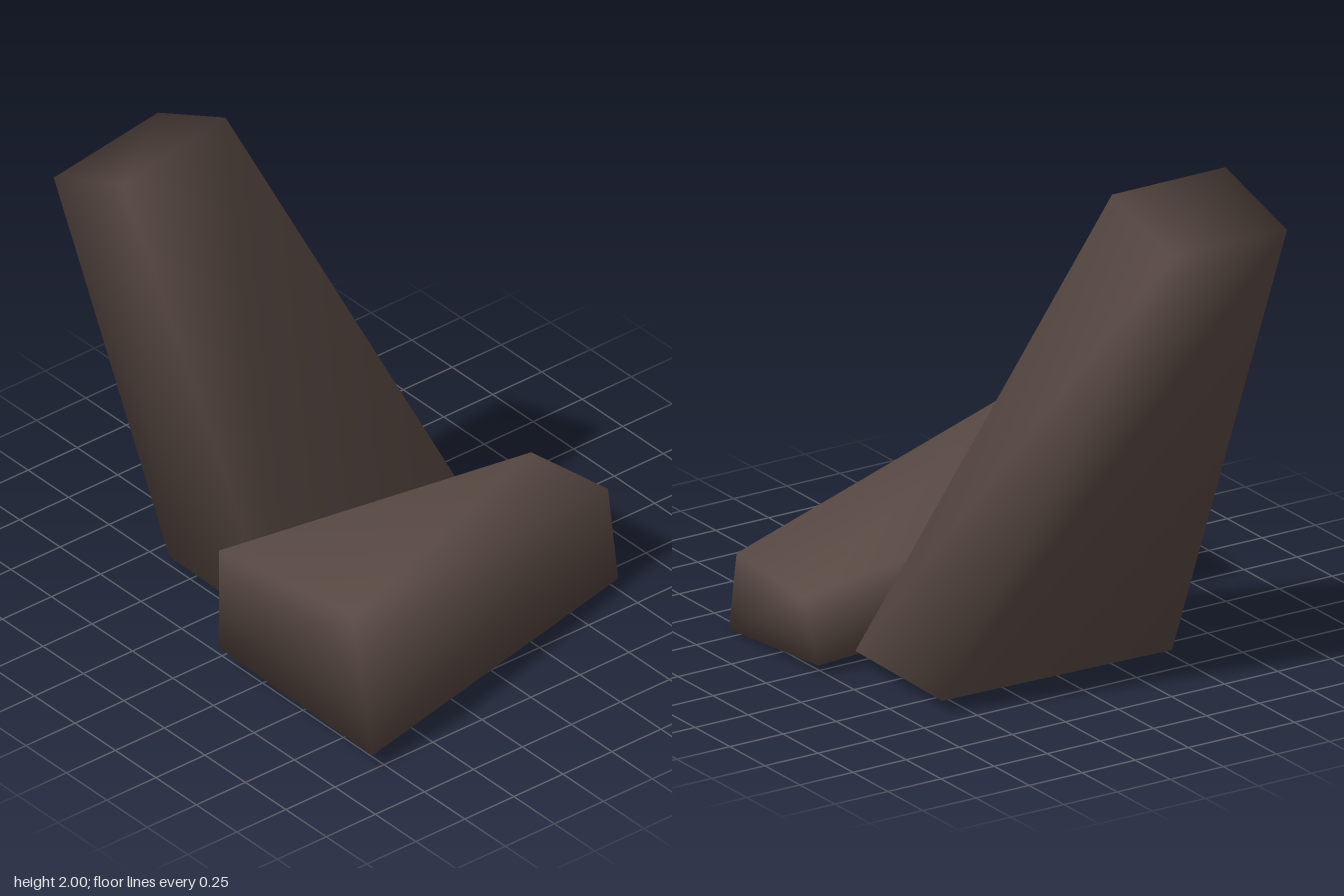
import * as THREE from 'three';

// Smooth-shaded six-sided block from two rings of four corners,
// each ordered front-left, front-right, back-right, back-left (seen from the front).
function makeBlock(name, bottom, top, material) {
  const geometry = new THREE.BufferGeometry();
  const corners = [...bottom, ...top].flat();
  geometry.setAttribute('position', new THREE.Float32BufferAttribute(corners, 3));
  const index = [];
  const quad = (a, b, c, d) => index.push(a, b, c, a, c, d);
  for (let i = 0; i < 4; i++) {
    const j = (i + 1) % 4;
    quad(i, j, j + 4, i + 4);
  }
  quad(4, 5, 6, 7);
  quad(3, 2, 1, 0);
  geometry.setIndex(index);
  geometry.computeVertexNormals();
  const mesh = new THREE.Mesh(geometry, material);
  mesh.name = name;
  return mesh;
}

export function createModel() {
  const group = new THREE.Group();
  group.name = 'rocks';
  const stone = new THREE.MeshStandardMaterial({ color: 0x5c4c46 });
  stone.name = 'brown stone';

  // Tall slab leaning back and to one side
  group.add(makeBlock('standingRock',
    [[-0.51, 0.04, 0.07], [0.6, 0.06, -0.03], [0.6, 0.05, -0.65], [-0.49, 0.03, -0.64]],
    [[-0.8, 1.97, -0.55], [-0.22, 2.0, -0.62], [-0.26, 1.85, -0.99], [-0.84, 1.82, -0.93]],
    stone));

  // Low wedge lying across the front
  group.add(makeBlock('lyingRock',
    [[-0.8, 0.06, 0.99], [0.8, 0, 0.57], [0.78, 0.04, -0.04], [-0.8, 0.08, 0.04]],
    [[-0.77, 0.62, 0.83], [0.83, 0.36, 0.47], [0.81, 0.31, 0.02], [-0.79, 0.53, 0.03]],
    stone));

  return group;
}
